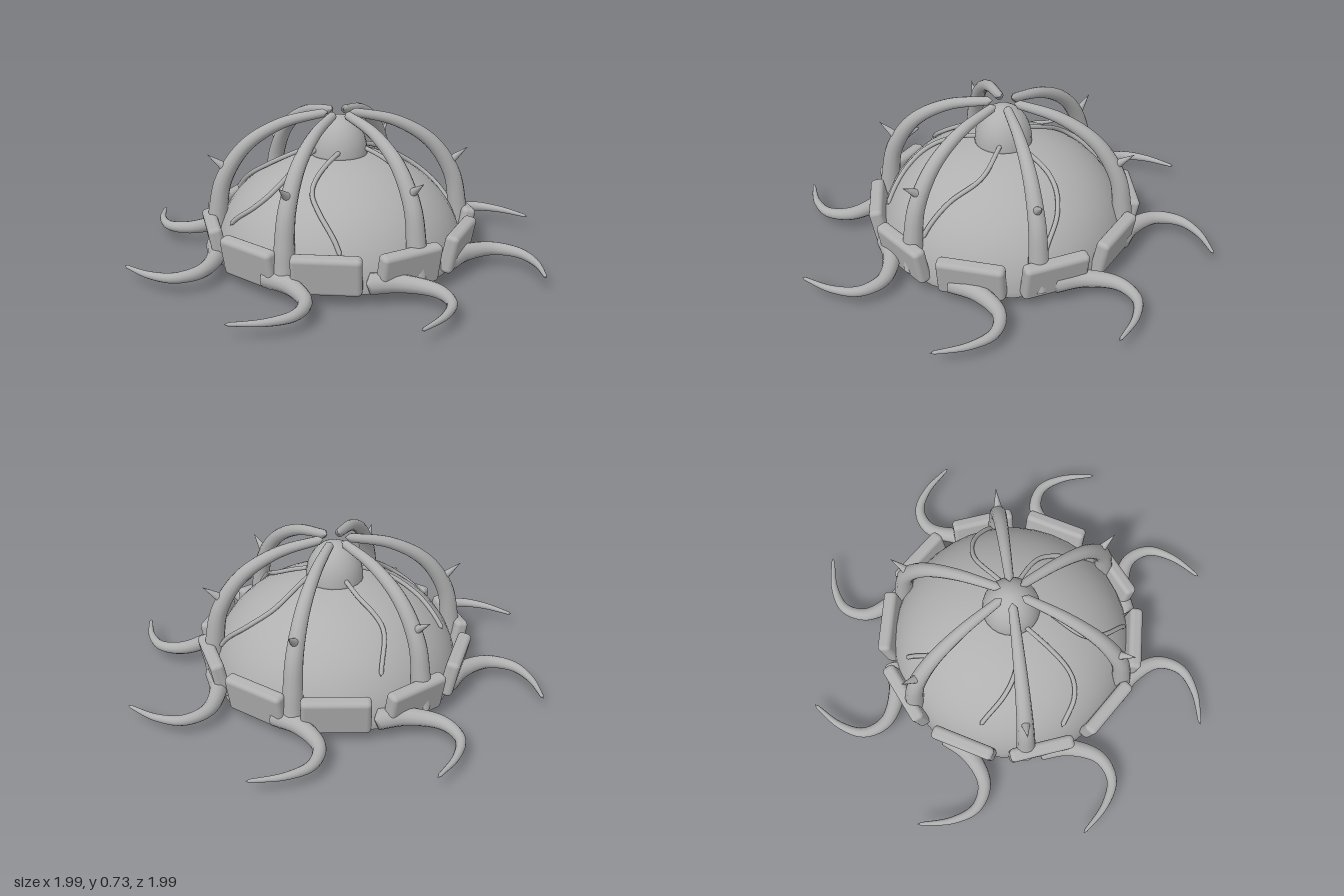
import * as THREE from 'three';
import { RoundedBoxGeometry } from 'three/addons/geometries/RoundedBoxGeometry.js';

const V = (x, y, z) => new THREE.Vector3(x, y, z);
const rad = THREE.MathUtils.degToRad;

// Tube whose radius follows a function of its length
function taperedTube(points, radiusAt, steps = 32, sides = 12) {
  const curve = new THREE.CatmullRomCurve3(points);
  const geo = new THREE.TubeGeometry(curve, steps, 1, sides, false);
  const pos = geo.attributes.position;
  const p = V(0, 0, 0);
  for (let i = 0; i <= steps; i++) {
    const c = curve.getPointAt(i / steps);
    const r = i === 0 || i === steps ? 0 : radiusAt(i / steps);
    for (let j = 0; j <= sides; j++) {
      const k = i * (sides + 1) + j;
      p.fromBufferAttribute(pos, k).sub(c).multiplyScalar(r).add(c);
      pos.setXYZ(k, p.x, p.y, p.z);
    }
  }
  return geo;
}

export function createModel() {
  const model = new THREE.Group();
  const gray = new THREE.MeshStandardMaterial({ color: 0xb0b0b0 });
  gray.name = 'plain gray';

  const add = (parent, name, geo) => {
    const mesh = new THREE.Mesh(geo, gray);
    mesh.name = name;
    parent.add(mesh);
    return mesh;
  };
  // Group turned so that its +x points outward at the given angle
  const spoke = (name, degrees) => {
    const g = new THREE.Group();
    g.name = name;
    g.rotation.y = -rad(degrees);
    model.add(g);
    return g;
  };

  // Dome
  const domeY = (r) => 0.05 + 0.48 * Math.sqrt(Math.max(0, 1 - (r / 0.59) ** 2));
  const domeProfile = [];
  for (let i = 0; i <= 16; i++) {
    const a = (i / 16) * Math.PI / 2;
    domeProfile.push(new THREE.Vector2(0.59 * Math.cos(a), 0.05 + 0.48 * Math.sin(a)));
  }
  add(model, 'dome', new THREE.LatheGeometry(domeProfile, 40));

  // Shallow underside with a rim
  const belly = [[0, 0], [0.2, 0.006], [0.4, 0.02], [0.56, 0.04], [0.605, 0.055], [0.57, 0.1]];
  add(model, 'underside', new THREE.LatheGeometry(belly.map(([x, y]) => new THREE.Vector2(x, y)), 20));

  // Crown knob
  const knob = [new THREE.Vector2(0, 0.51), new THREE.Vector2(0.135, 0.51)];
  for (let i = 0; i <= 10; i++) {
    const a = (i / 10) * Math.PI / 2;
    knob.push(new THREE.Vector2(0.135 * Math.cos(a), 0.525 + 0.175 * Math.sin(a)));
  }
  add(model, 'knob', new THREE.LatheGeometry(knob, 24));

  // Six arched ribs, each with a spike
  const ribPath = [[0.6, 0.05], [0.585, 0.13], [0.575, 0.25], [0.545, 0.4], [0.44, 0.56], [0.27, 0.665], [0.05, 0.715]];
  const ribGeo = taperedTube(ribPath.map(([x, y]) => V(x, y, 0)),
    (u) => (u < 0.1 ? 0.03 + 0.2 * u : 0.052 - 0.032 * u), 40);
  const spikeGeo = new THREE.ConeGeometry(0.026, 0.12, 10);
  for (let i = 0; i < 6; i++) {
    const g = spoke('rib', 43 + 60 * i);
    add(g, 'ribArch', ribGeo);
    const spike = add(g, 'spike', spikeGeo);
    spike.position.set(0.572, 0.488, 0);
    spike.rotation.z = -rad(52);
  }

  // Ten rim plates, leaning outward at the top
  const plateGeo = new RoundedBoxGeometry(0.065, 0.185, 0.31, 3, 0.022);
  for (let i = 0; i < 10; i++) {
    const plate = add(spoke('rimPlate', 36 * i), 'plate', plateGeo);
    plate.position.set(0.597, 0.145, 0);
    plate.rotation.z = -rad(11);
  }

  // Eight curling tentacles
  const tentaclePath = [[0.47, 0.36, 0.1], [0.575, 0.25, 0.095], [0.72, 0.19, 0.085],
    [0.83, 0.235, 0.078], [0.88, 0.35, 0.075], [0.885, 0.52, 0.074]];
  const tentacleGeo = taperedTube(tentaclePath.map(([x, z, y]) => V(x, y, z)),
    (u) => 0.05 - 0.043 * u, 40);
  for (let i = 0; i < 8; i++) add(spoke('tentacle', 45 * i), 'tentacleArm', tentacleGeo);

  // Thin cords winding down the dome, as pairs of radius and angle
  const cords = [
    [[0.1, 61], [0.3, 77], [0.43, 93], [0.55, 100]],
    [[0.1, 34], [0.34, 18], [0.46, 27], [0.56, 40]],
    [[0.1, 219], [0.28, 225], [0.39, 234], [0.52, 246]],
    [[0.1, 202], [0.4, 186], [0.48, 192], [0.55, 204]],
    [[0.1, 130], [0.36, 158], [0.45, 150], [0.56, 138]],
    [[0.1, 302], [0.22, 297], [0.39, 291], [0.53, 302]],
  ];
  for (const cord of cords) {
    const flat = new THREE.CatmullRomCurve3(
      cord.map(([r, a]) => V(r * Math.cos(rad(a)), 0, r * Math.sin(rad(a)))));
    const path = flat.getPoints(14).map((p) => {
      const r = Math.hypot(p.x, p.z);
      return V(p.x, domeY(r) + 0.012 + 0.03 * Math.max(0, 1 - r / 0.35), p.z);
    });
    add(model, 'cord', taperedTube(path, () => 0.011, 32, 8));
  }

  return model;
}
